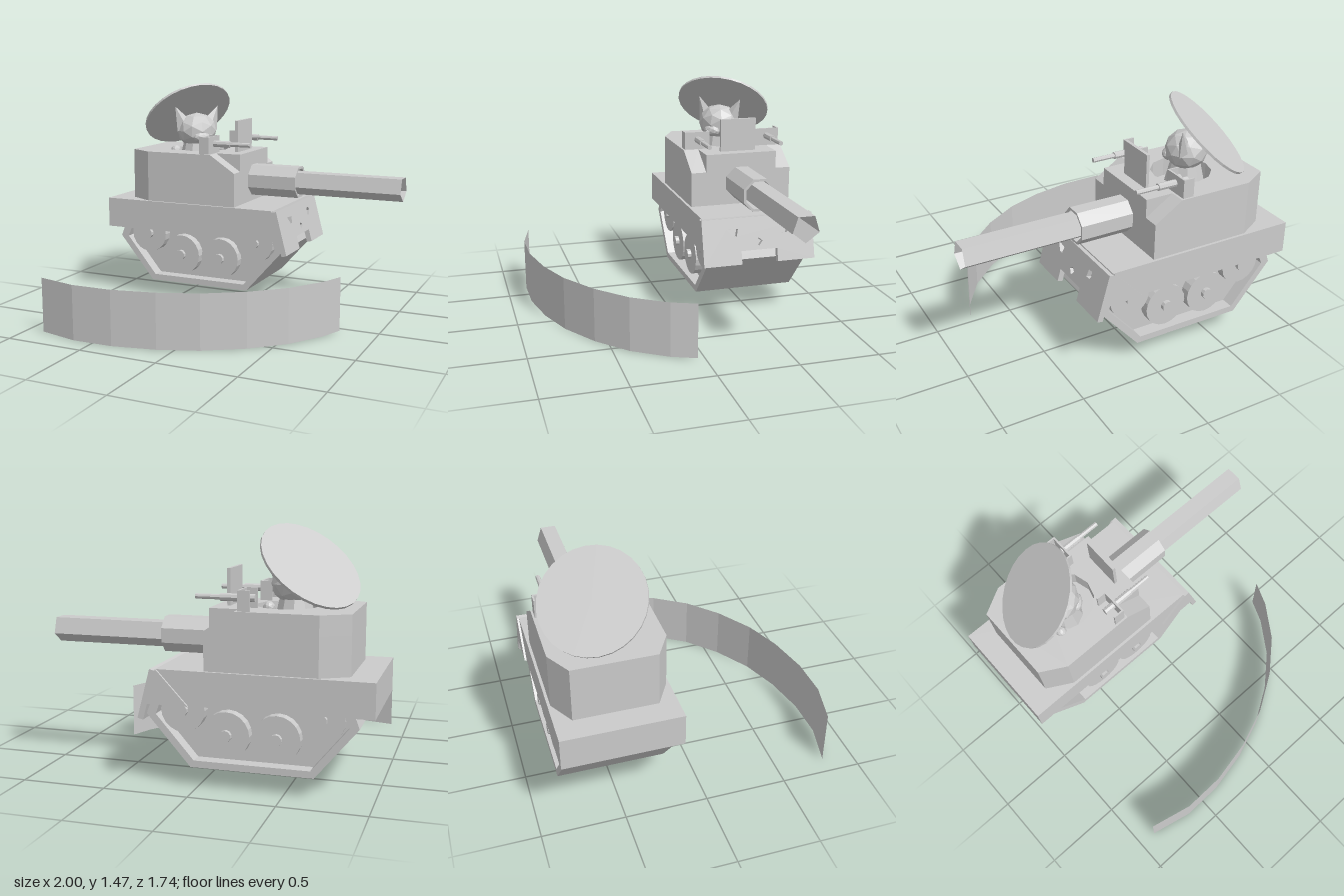
import * as THREE from 'three';

const mat = new THREE.MeshStandardMaterial({ color: 0xcccccc, flatShading: true });
const thin = new THREE.MeshStandardMaterial({ color: 0xcccccc, flatShading: true, side: THREE.DoubleSide });

function add(parent, name, geo, pos = [0, 0, 0], material = mat) {
  const m = new THREE.Mesh(geo, material);
  m.name = name;
  m.position.set(...pos);
  parent.add(m);
  return m;
}
const toShape = (pts, holes = []) => {
  const s = new THREE.Shape(pts.map(p => new THREE.Vector2(...p)));
  s.holes = holes.map(h => new THREE.Path(h.map(p => new THREE.Vector2(...p))));
  return s;
};
const extrude = (pts, depth, holes) =>
  new THREE.ExtrudeGeometry(toShape(pts, holes), { depth, bevelEnabled: false });
// side profile (x, y) spread to both sides of the centre line
const across = (pts, half, holes) => extrude(pts, 2 * half, holes).translate(0, 0, -half);
// plan outline (x, z) raised from y0 to y1
const raise = (pts, y0, y1, holes) => extrude(pts, y1 - y0, holes).rotateX(Math.PI / 2).translate(0, y1, 0);
// cylinder along x from x0 to x1
const rod = (r, x0, x1, sides, open = false, turn = 0) =>
  new THREE.CylinderGeometry(r, r, x1 - x0, sides, 1, open).rotateY(turn).rotateZ(-Math.PI / 2).translate((x0 + x1) / 2, 0, 0);

function buildHull(tank) {
  // track band with recessed sides
  const outer = [[-0.67, 0.115], [0.04, 0.115], [0.30, 0.41], [0.27, 0.49], [-0.885, 0.49], [-0.915, 0.41]];
  const inner = [[-0.65, 0.155], [0.02, 0.155], [0.245, 0.41], [0.22, 0.48], [-0.83, 0.48], [-0.86, 0.41]];
  add(tank, 'trackBand', across(outer, 0.33, [inner]));
  add(tank, 'lowerHull', across(inner, 0.25));
  // road wheels and raised end wheels
  for (const side of [-1, 1])
    for (const [x, y, r] of [[-0.705, 0.44, 0.13], [-0.455, 0.31, 0.135], [-0.165, 0.31, 0.135], [0.09, 0.44, 0.13]]) {
      add(tank, 'wheel', new THREE.CylinderGeometry(r, r, 0.06, 20).rotateX(Math.PI / 2), [x, y, side * 0.28]);
      add(tank, 'wheelHub', new THREE.CylinderGeometry(0.034, 0.034, 0.03, 10).rotateX(Math.PI / 2), [x, y, side * 0.32]);
    }
  // deck and the wider nose
  add(tank, 'deck', across([[-1, 0.475], [0.28, 0.475], [0.235, 0.675], [-1, 0.675]], 0.357));
  add(tank, 'noseWedge', across([[0.04, 0.475], [0.285, 0.475], [0.232, 0.675], [0.255, 0.675].map((v, i) => i ? v : 0.228)], 0.37));
  // sloping front plate with a notch and three openings
  const plate = [[-0.37, 0], [-0.12, 0], [-0.12, 0.085], [0.12, 0.085], [0.12, 0], [0.37, 0], [0.37, 0.295], [-0.37, 0.295]];
  const holes = [
    [[-0.21, 0.23], [-0.135, 0.225], [-0.145, 0.18], [-0.17, 0.18]],
    [[-0.025, 0.14], [0, 0.16], [0.025, 0.14], [0, 0.11]],
    [[0.155, 0.18], [0.19, 0.18], [0.21, 0.21], [0.2, 0.232], [0.165, 0.23]],
  ];
  const front = extrude(plate, 0.035, holes).translate(0, 0, -0.035).rotateY(Math.PI / 2).rotateZ(0.257);
  add(tank, 'frontPlate', front, [0.34, 0.39, 0]);
}

function buildTurret(tank) {
  const back = [[-0.69, 0.34], [-0.85, 0.25], [-0.85, -0.25], [-0.69, -0.34]];
  add(tank, 'turretBase', raise([...back, [-0.045, -0.34], [-0.045, 0.34]], 0.675, 0.9));
  const hatch = [];
  for (let i = 0; i < 12; i++) hatch.push([-0.44 + 0.185 * Math.cos(i * Math.PI / 6), 0.185 * Math.sin(i * Math.PI / 6)]);
  const top = [...back, [-0.22, -0.34], [-0.22, -0.24], [-0.045, -0.24], [-0.045, 0.24], [-0.22, 0.24], [-0.22, 0.34]];
  add(tank, 'turretTop', raise(top, 0.9, 1.015, [hatch]));
  // sloped front corners
  for (const side of [-1, 1])
    add(tank, 'turretCorner', across([[-0.22, 0.9], [-0.045, 0.9], [-0.22, 1.015]], 0.05), [0, 0, side * 0.29]);
  // main gun, hollow at the muzzle
  add(tank, 'gunSleeve', rod(0.112, -0.05, 0.295, 8, true, Math.PI / 8), [0, 0.82, 0], thin);
  add(tank, 'sleeveRim', new THREE.RingGeometry(0.095, 0.112, 8, 1, Math.PI / 8).rotateY(Math.PI / 2), [0.294, 0.82, 0], thin);
  add(tank, 'gunBarrel', rod(0.085, -0.05, 1, 5, true, Math.PI / 2), [0, 0.82, 0], thin);
  // centre shield
  add(tank, 'shield', new THREE.BoxGeometry(0.02, 0.215, 0.24), [-0.125, 1.12, 0]);
  // side guns in open brackets
  for (const side of [-1, 1]) {
    const gun = new THREE.Group();
    gun.name = 'sideGun';
    gun.position.set(0, 0, side * 0.243);
    tank.add(gun);
    add(gun, 'bracketPlate', new THREE.BoxGeometry(0.012, 0.115, 0.17), [-0.24, 1.072, 0]);
    for (const s of [-1, 1])
      add(gun, 'bracketArm', new THREE.BoxGeometry(0.065, 0.115, 0.01), [-0.272, 1.072, s * 0.08]);
    add(gun, 'gunBody', rod(0.022, -0.315, -0.115, 8), [0, 1.08, 0]);
    add(gun, 'gunTube', rod(0.015, -0.115, 0.03, 8), [0, 1.08, 0]);
  }
}

function buildDriver(tank) {
  // local +z is the facing direction
  const driver = new THREE.Group();
  driver.name = 'driver';
  driver.position.set(-0.48, 0, 0.01);
  driver.rotation.y = Math.PI / 4;
  tank.add(driver);
  add(driver, 'body', new THREE.CylinderGeometry(0.09, 0.13, 0.17, 10), [0, 0.98, 0]);
  add(driver, 'head', new THREE.IcosahedronGeometry(0.13, 1).scale(1.08, 0.95, 1), [0, 1.14, 0]);
  add(driver, 'muzzle', new THREE.IcosahedronGeometry(0.05, 1).scale(1.2, 0.8, 0.8), [0, 1.1, 0.105]);
  for (const s of [-1, 1]) {
    const ear = add(driver, 'ear', new THREE.ConeGeometry(0.068, 0.16, 5).scale(1, 1, 0.6), [s * 0.122, 1.238, 0]);
    ear.rotation.z = -s * 0.45;
    add(driver, 'paw', new THREE.IcosahedronGeometry(0.035, 1), [s * 0.16, 1.01, 0.02]);
  }
  // broad tilted disc hat
  const hat = add(tank, 'hat', new THREE.CylinderGeometry(0.316, 0.316, 0.015, 28), [-0.58, 1.25, -0.05]);
  hat.quaternion.setFromUnitVectors(new THREE.Vector3(0, 1, 0), new THREE.Vector3(-0.577, 0.725, -0.375).normalize());
}

export function createModel() {
  const model = new THREE.Group();
  model.name = 'tankScene';
  const tank = new THREE.Group();
  tank.name = 'tank';
  tank.position.z = -0.5;
  model.add(tank);
  buildHull(tank);
  buildTurret(tank);
  buildDriver(tank);

  // free-standing curved wall
  const path = [[-0.89, 0.81], [-0.63, 0.87], [-0.37, 0.865], [-0.1, 0.81], [0.14, 0.72], [0.37, 0.575], [0.56, 0.4], [0.7, 0.19], [0.76, 0.04]];
  const pos = [], index = [];
  path.forEach(([x, z], i) => {
    pos.push(x, 0, z, x, 0.342, z);
    const a = 2 * i;
    if (i) index.push(a - 2, a, a - 1, a, a + 1, a - 1);
  });
  const wall = new THREE.BufferGeometry();
  wall.setAttribute('position', new THREE.Float32BufferAttribute(pos, 3));
  wall.setIndex(index);
  wall.computeVertexNormals();
  add(model, 'curvedWall', wall, [0, 0, 0], thin);
  return model;
}
